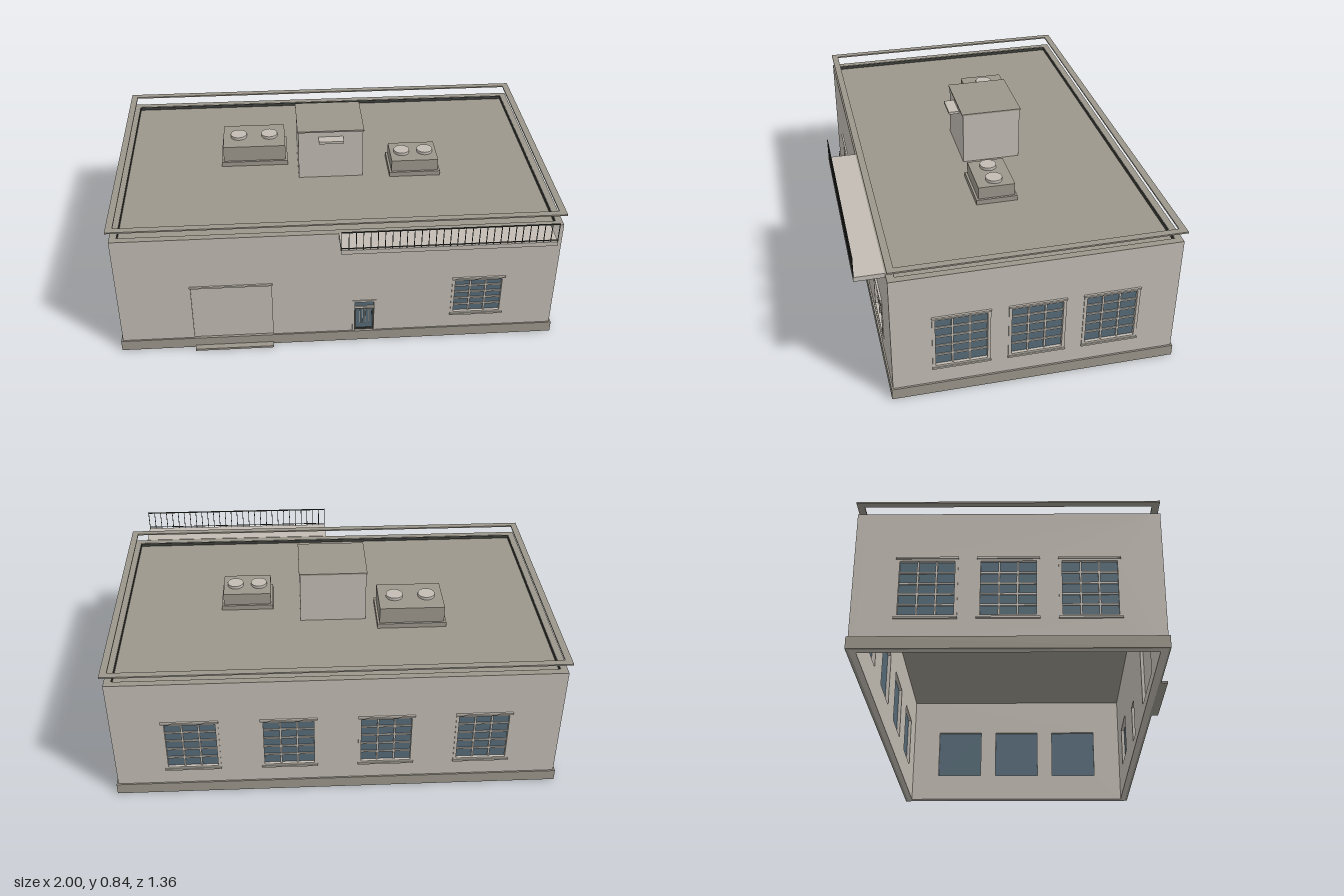
import * as THREE from 'three';

const mat = (name, color) => Object.assign(new THREE.MeshStandardMaterial({ color }), { name });
const M = {
  wall: mat('wall render', 0xc2bcb3),
  stone: mat('roof and plinth grey', 0x9c978c),
  glass: mat('window glass', 0x566b78),
  dark: mat('dark metal', 0x3c3e3a),
};

const T = 0.03; // wall thickness
const X = 0.99, ZF = 0.555, ZB = -0.675, TOP = 0.607, ROOF = 0.592;
const ZC = (ZF + ZB) / 2;

function add(parent, name, geometry, material) {
  const m = new THREE.Mesh(geometry, material);
  m.name = name;
  parent.add(m);
  return m;
}

// Box given by its limits on each axis
function box(parent, name, material, x0, x1, y0, y1, z0, z1) {
  const m = add(parent, name, new THREE.BoxGeometry(x1 - x0, y1 - y0, z1 - z0), material);
  m.position.set((x0 + x1) / 2, (y0 + y1) / 2, (z0 + z1) / 2);
  return m;
}

function rect(Kind, x0, x1, y0, y1) {
  const s = new Kind();
  s.moveTo(x0, y0).lineTo(x1, y0).lineTo(x1, y1).lineTo(x0, y1).closePath();
  return s;
}

// Rectangular plate with rectangular holes, from z0 to z1
function plate(parent, name, material, outer, holes, z0, z1) {
  const s = rect(THREE.Shape, ...outer);
  holes.forEach((h) => s.holes.push(rect(THREE.Path, ...h)));
  const g = new THREE.ExtrudeGeometry(s, { depth: z1 - z0, bevelEnabled: false });
  g.translate(0, 0, z0);
  return add(parent, name, g, material);
}

// Horizontal rectangular ring around the building
function ring(parent, name, material, x, zBack, zFront, width, y0, y1) {
  const m = plate(parent, name, material, [-x, x, -zFront, -zBack],
    [[-x + width, x - width, -zFront + width, -zBack - width]], y0, y1);
  m.rotation.x = -Math.PI / 2;
}

// Grid window with frame, bars, lintel and sill; outer wall face is z = 0
function windowUnit(parent, [x0, x1, y0, y1]) {
  const g = new THREE.Group();
  g.name = 'window';
  parent.add(g);
  const cols = 3, rows = 5, b = 0.009;
  box(g, 'glass', M.glass, x0, x1, y0, y1, -0.014, -0.010);
  plate(g, 'frame', M.wall, [x0 - 0.004, x1 + 0.004, y0 - 0.004, y1 + 0.004],
    [[x0 + b, x1 - b, y0 + b, y1 - b]], -0.012, 0.004);
  for (let i = 1; i < cols; i++) {
    const x = x0 + b + ((x1 - x0 - 2 * b) * i) / cols;
    box(g, 'verticalBar', M.wall, x - 0.004, x + 0.004, y0 + b, y1 - b, -0.011, -0.004);
  }
  for (let j = 1; j < rows; j++) {
    const y = y0 + b + ((y1 - y0 - 2 * b) * j) / rows;
    box(g, 'horizontalBar', M.wall, x0 + b, x1 - b, y - 0.004, y + 0.004, -0.011, -0.005);
  }
  box(g, 'lintel', M.wall, x0 - 0.006, x1 + 0.006, y1, y1 + 0.008, -0.01, 0.009);
  box(g, 'sill', M.wall, x0 - 0.006, x1 + 0.006, y0 - 0.008, y0, -0.01, 0.009);
}

// One wall with its windows, built facing +z
function wall(parent, name, half, windows, openings = []) {
  const g = new THREE.Group();
  g.name = name;
  parent.add(g);
  plate(g, 'wallPanel', M.wall, [-half, half, 0, TOP], [...windows, ...openings], -T, 0);
  windows.forEach((w) => windowUnit(g, w));
  return g;
}

// Roof unit with curb and two round fans
function roofUnit(parent, x0, x1, z0, z1, top, r) {
  const g = new THREE.Group();
  g.name = 'ventilationUnit';
  parent.add(g);
  box(g, 'curb', M.stone, x0 - 0.01, x1 + 0.01, ROOF - 0.002, 0.615, z0 - 0.01, z1 + 0.01);
  box(g, 'unitBody', M.stone, x0, x1, ROOF, top, z0, z1);
  for (const f of [0.25, 0.75]) {
    const fan = add(g, 'fan', new THREE.CylinderGeometry(r, r, 0.014, 24), M.wall);
    fan.position.set(x0 + (x1 - x0) * f, top + 0.007, (z0 + z1) / 2);
  }
}

export function createModel() {
  const root = new THREE.Group();
  root.name = 'building';

  // Walls
  const span = (c, w) => [c - w / 2, c + w / 2];
  const tall = [0.138, 0.395];
  const garage = [-0.662, -0.302, 0.05, 0.343];
  const door = [0.068, 0.168, 0.05, 0.226];
  const front = wall(root, 'frontWall', X, [[0.52, 0.752, 0.132, 0.33]], [garage, door]);
  front.position.z = ZF;
  const back = wall(root, 'backWall', X,
    [-0.645, -0.215, 0.215, 0.645].map((c) => [...span(c, 0.24), ...tall]));
  back.position.z = ZB;
  back.rotation.y = Math.PI;
  for (const s of [1, -1]) {
    const side = wall(root, s > 0 ? 'leftWall' : 'rightWall', (ZF - ZB) / 2 - T,
      [-0.322, 0, 0.322].map((c) => [...span(c, 0.238), ...tall]));
    side.position.set(s * X, 0, ZC);
    side.rotation.y = (s * Math.PI) / 2;
  }

  // Loading door with lintel and step
  box(front, 'loadingDoor', M.wall, garage[0], garage[1], 0.05, 0.343, -0.016, -0.006);
  box(front, 'loadingDoorLintel', M.wall, -0.667, -0.297, 0.341, 0.349, -0.01, 0.008);
  box(front, 'loadingStep', M.stone, -0.66, -0.3, 0, 0.01, 0, 0.035);

  // Entrance door with transom and guard bars
  box(front, 'entranceDoor', M.glass, door[0], door[1], 0.05, 0.226, -0.016, -0.01);
  plate(front, 'doorFrame', M.wall, [0.064, 0.172, 0.05, 0.23], [[0.074, 0.162, 0.05, 0.22]], -0.012, 0.004);
  box(front, 'transomBar', M.wall, 0.074, 0.162, 0.182, 0.19, -0.011, -0.003);
  plate(front, 'doorLeafEdge', M.dark, [0.074, 0.162, 0.05, 0.182], [[0.082, 0.154, 0.06, 0.174]], -0.011, -0.006);
  for (let i = 0; i < 4; i++) {
    const x = 0.1 + i * 0.013;
    box(front, 'doorBar', M.wall, x - 0.002, x + 0.002, 0.09, 0.172, -0.011, -0.005);
  }

  // Plinth, roof and floating roof rail
  ring(root, 'plinth', M.stone, 0.998, ZB - 0.007, ZF + 0.007, 0.012, 0, 0.052);
  box(root, 'roof', M.stone, -X + T, X - T, ROOF - 0.012, ROOF, ZB + T, ZF - T);
  ring(root, 'roofFlashing', M.dark, X - T, ZB + T, ZF - T, 0.003, ROOF, TOP);
  ring(root, 'wallCap', M.stone, X, ZB, ZF, T, TOP, TOP + 0.002);
  ring(root, 'roofRail', M.stone, 1, -0.683, 0.556, 0.03, 0.656, 0.663);

  // Stair house on the roof
  box(root, 'stairHouse', M.wall, -0.153, 0.148, ROOF, 0.836, -0.197, 0.068);
  box(root, 'stairHouseCap', M.stone, -0.157, 0.152, 0.836, 0.843, -0.201, 0.074);
  box(root, 'stairHouseAwning', M.wall, -0.06, 0.055, 0.798, 0.81, 0.068, 0.115);

  roofUnit(root, -0.508, -0.212, -0.268, -0.063, 0.692, 0.039);
  roofUnit(root, 0.285, 0.505, -0.085, 0.08, 0.672, 0.037);

  // Balcony slab with railing
  const balcony = new THREE.Group();
  balcony.name = 'balcony';
  root.add(balcony);
  box(balcony, 'balconySlab', M.wall, 0, 0.93, 0.59, 0.611, ZF, 0.68);
  box(balcony, 'handrail', M.dark, 0, 0.93, 0.7, 0.705, 0.676, 0.68);
  box(balcony, 'lowerRail', M.dark, 0, 0.93, 0.618, 0.621, 0.676, 0.679);
  const posts = 30;
  for (let i = 0; i <= posts; i++) {
    const x = 0.002 + (0.926 * i) / posts;
    box(balcony, 'baluster', M.dark, x - 0.0015, x + 0.0015, 0.611, 0.702, 0.6765, 0.6795);
  }
  return root;
}
